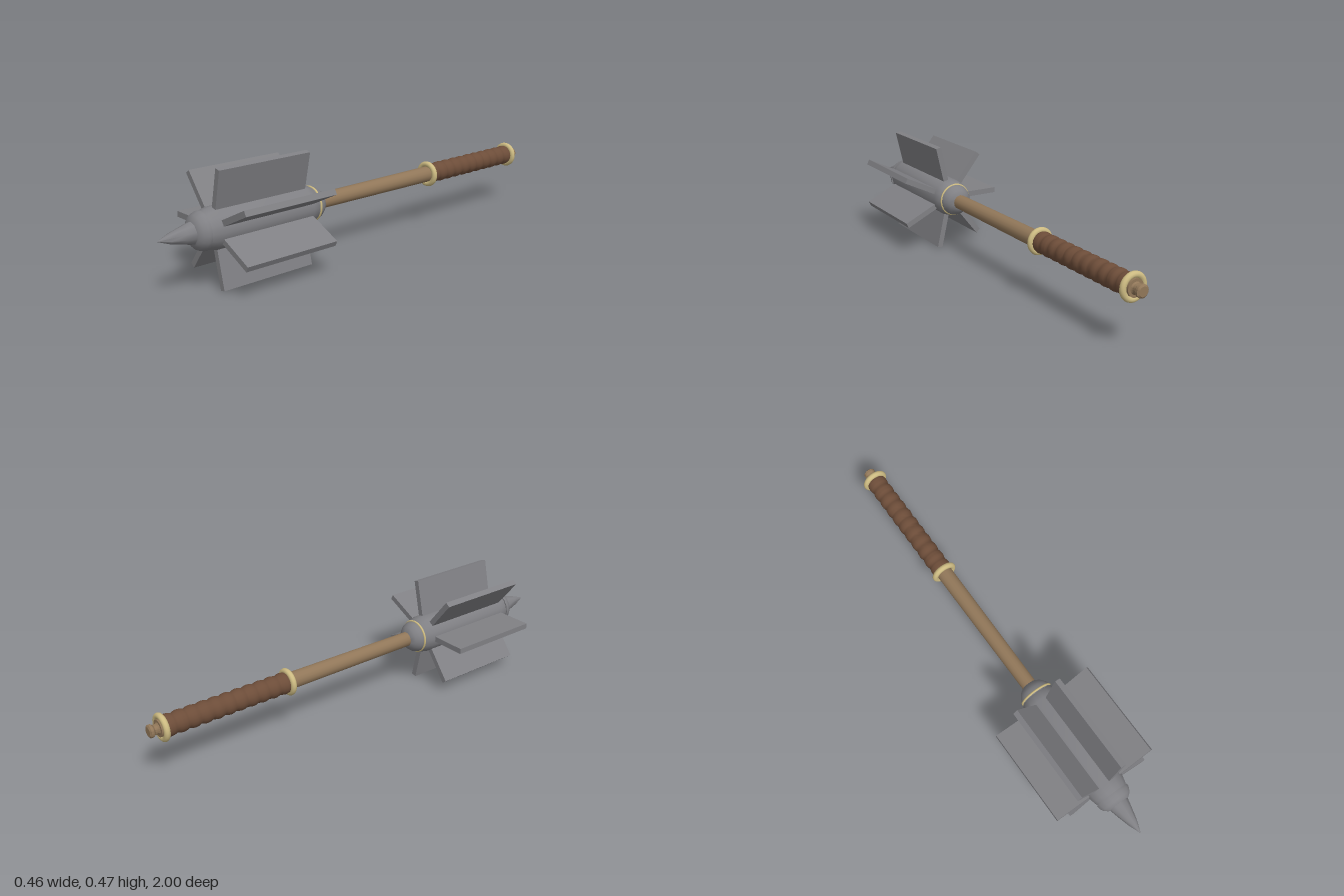
import * as THREE from 'three';
import { toCreasedNormals } from 'three/addons/utils/BufferGeometryUtils.js';

const makeMaterial = (name, color) => {
  const m = new THREE.MeshStandardMaterial({ color });
  m.name = name;
  return m;
};

export function createModel() {
  const steel = makeMaterial('steel', 0x808084);
  const wood = makeMaterial('wood', 0x917759);
  const leather = makeMaterial('leather', 0x6d4d39);
  const brass = makeMaterial('brass', 0xcdbb82);

  const mace = new THREE.Group();
  mace.name = 'mace';
  mace.position.set(0.008, 0.239, 0);

  const add = (name, geometry, material, parent = mace) => {
    const mesh = new THREE.Mesh(geometry, material);
    mesh.name = name;
    parent.add(mesh);
    return mesh;
  };
  // Turned part along z, from [radius, z] pairs running back to front
  const turned = (name, profile, sides, material, crease = 0.6) => {
    const points = profile.map(([r, z]) => new THREE.Vector2(r, z));
    const g = new THREE.LatheGeometry(points, sides).rotateX(Math.PI / 2);
    return add(name, toCreasedNormals(g, crease), material);
  };

  // Head: rounded collar, barrel, front cap and spike
  turned('collar', [[0, 0.25], [0.034, 0.25], [0.052, 0.262], [0.065, 0.28], [0.07, 0.298], [0.07, 0.31]], 24, steel);
  turned('barrel', [[0.066, 0.302], [0.076, 0.315], [0.083, 0.345], [0.083, 0.775], [0.077, 0.8], [0.068, 0.825], [0, 0.825]], 16, steel);
  turned('frontCap', [[0, 0.815], [0.077, 0.815], [0.075, 0.828], [0.066, 0.845], [0.05, 0.858], [0, 0.865]], 16, steel);
  turned('spike', [[0, 0.85], [0.046, 0.85], [0.035, 0.895], [0.02, 0.95], [0, 1]], 10, steel, 0.7);
  const band = add('headBand', new THREE.TorusGeometry(0.069, 0.005, 8, 24), brass);
  band.position.z = 0.3;

  // Seven flanges around the barrel
  const flanges = new THREE.Group();
  flanges.name = 'flanges';
  mace.add(flanges);
  const flangeGeometry = new THREE.BoxGeometry(0.18, 0.024, 0.42).translate(0.15, 0, 0.56);
  for (let i = 0; i < 7; i++) {
    add('flange', flangeGeometry, steel, flanges).rotation.z = Math.PI + (i * Math.PI * 2) / 7;
  }

  // Shaft
  turned('shaft', [[0, -0.96], [0.035, -0.96], [0.035, -0.38], [0.032, 0.27], [0, 0.27]], 16, wood);

  // Wrapped grip with even ridges
  const ridges = 11, steps = ridges * 6, start = -0.945, length = 0.56;
  const gripProfile = [];
  for (let i = 0; i <= steps; i++) {
    const wave = Math.abs(Math.sin((i / steps) * ridges * Math.PI));
    gripProfile.push([0.039 + 0.006 * wave, start + (length * i) / steps]);
  }
  turned('grip', gripProfile, 20, leather, 0.9);

  // Rings at both ends of the grip
  for (const z of [-0.385, -0.945]) {
    add('gripRing', new THREE.TorusGeometry(0.045, 0.0125, 12, 28), brass).position.z = z;
  }

  // Pommel stub with a flared end
  turned('pommel', [[0, -1], [0.019, -1], [0.026, -0.995], [0.026, -0.985], [0.02, -0.978], [0.02, -0.965], [0.028, -0.955], [0.028, -0.94]], 16, wood);

  const model = new THREE.Group();
  model.name = 'model';
  model.add(mace);
  return model;
}
